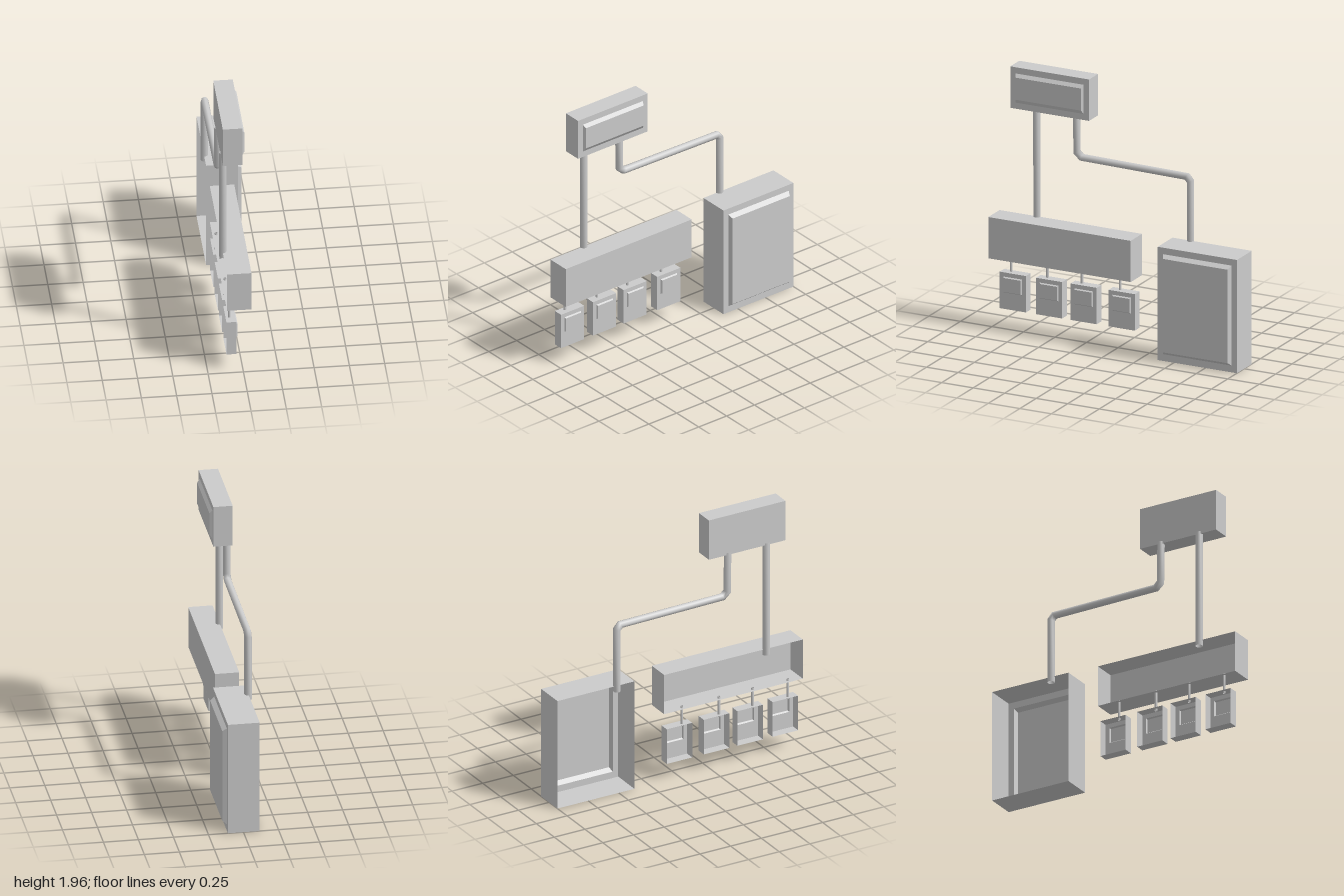
import * as THREE from 'three';

const material = new THREE.MeshStandardMaterial({ color: 0xcccccc, side: THREE.DoubleSide });

// Rectangle ring facing +x: [x, y0, y1, z0, z1]
const ring = ([x, y0, y1, z0, z1]) => [[x, y0, z1], [x, y0, z0], [x, y1, z0], [x, y1, z1]];

// Sheet-metal shell lofted through rectangles from back to front, open at the back unless closed
function shell(name, rects, closedBack = false) {
  const rings = rects.map(ring);
  const pos = [];
  const quad = (a, b, c, d) => pos.push(...a, ...b, ...c, ...a, ...c, ...d);
  for (let k = 0; k + 1 < rings.length; k++) {
    const a = rings[k], b = rings[k + 1];
    for (let i = 0; i < 4; i++) {
      const j = (i + 1) % 4;
      quad(a[i], a[j], b[j], b[i]);
    }
  }
  quad(...rings[rings.length - 1]);
  if (closedBack) quad(...rings[0].slice().reverse());
  const geo = new THREE.BufferGeometry();
  geo.setAttribute('position', new THREE.Float32BufferAttribute(pos, 3));
  geo.computeVertexNormals();
  const mesh = new THREE.Mesh(geo, material);
  mesh.name = name;
  return mesh;
}

// Pipe swept along a [y, z] path at constant x, with mitred corners
function pipe(name, x, radius, path, sides = 8) {
  const pts = path.map(([y, z]) => new THREE.Vector2(y, z));
  const pos = [], index = [];
  pts.forEach((p, k) => {
    const before = p.clone().sub(pts[k - 1] ?? p).normalize();
    const after = (pts[k + 1] ?? p).clone().sub(p).normalize();
    const dir = before.clone().add(after).normalize();
    const cos = dir.dot(k ? before : after);
    for (let i = 0; i < sides; i++) {
      const t = (i / sides) * Math.PI * 2;
      const s = (Math.sin(t) * radius) / cos;
      pos.push(x + Math.cos(t) * radius, p.x - dir.y * s, p.y + dir.x * s);
      if (k) {
        const j = (i + 1) % sides, a = (k - 1) * sides, b = k * sides;
        index.push(a + i, a + j, b + j, a + i, b + j, b + i);
      }
    }
  });
  const geo = new THREE.BufferGeometry();
  geo.setAttribute('position', new THREE.Float32BufferAttribute(pos, 3));
  // Path runs downward; winding faces outward
  for (let i = 0; i < index.length; i += 3) [index[i + 1], index[i + 2]] = [index[i + 2], index[i + 1]];
  const a = new THREE.Vector3().fromArray(pos, index[0] * 3);
  const b = new THREE.Vector3().fromArray(pos, index[1] * 3).sub(a);
  const c = new THREE.Vector3().fromArray(pos, index[2] * 3).sub(a);
  const out = a.clone().sub(new THREE.Vector3(x, pts[0].x, pts[0].y));
  if (b.cross(c).dot(out) < 0) index.reverse();
  geo.setIndex(index);
  geo.computeVertexNormals();
  const mesh = new THREE.Mesh(geo, material);
  mesh.name = name;
  return mesh;
}

export function createModel() {
  const group = new THREE.Group();
  group.name = 'electricalBoxes';
  const back = -0.116;

  // Large cabinet with raised door
  group.add(shell('mainCabinet', [
    [back, 0, 0.842, -1, -0.372],
    [0.111, 0, 0.842, -1, -0.372],
    [0.111, 0.05, 0.794, -0.957, -0.416],
    [0.142, 0.075, 0.77, -0.943, -0.43],
  ]));

  // Long distribution trough
  group.add(shell('distributionBox', [
    [back, 0.525, 0.832, -0.13, 1],
    [0.057, 0.525, 0.832, -0.13, 1],
  ]));

  // Upper box with closed back
  group.add(shell('upperBox', [
    [-0.13, 1.653, 1.961, 0.226, 0.851],
    [0.008, 1.653, 1.961, 0.226, 0.851],
    [0.008, 1.698, 1.915, 0.269, 0.808],
    [0.028, 1.727, 1.891, 0.28, 0.797],
  ], true));

  // Four small meters, each hung from a thin conduit
  [0.858, 0.571, 0.297, -0.005].forEach((z, i) => {
    const meter = new THREE.Group();
    meter.name = `meter${i + 1}`;
    meter.add(shell('meterBox', [
      [back, 0.13, 0.401, z - 0.104, z + 0.104],
      [-0.045, 0.13, 0.401, z - 0.104, z + 0.104],
      [-0.045, 0.252, 0.37, z - 0.074, z + 0.074],
      [-0.034, 0.26, 0.363, z - 0.067, z + 0.067],
    ]));
    meter.add(pipe('meterConduit', -0.089, 0.01, [[0.54, z + 0.035], [0.385, z + 0.035]]));
    group.add(meter);
  });

  // Main conduits: one straight, one with two chamfered bends
  group.add(pipe('straightConduit', -0.114, 0.027, [[1.67, 0.704], [0.79, 0.702]]));
  group.add(pipe('bentConduit', -0.114, 0.027, [
    [1.67, 0.389], [1.36, 0.384], [1.327, 0.346],
    [1.315, -0.487], [1.283, -0.515], [0.8, -0.515],
  ]));
  return group;
}
